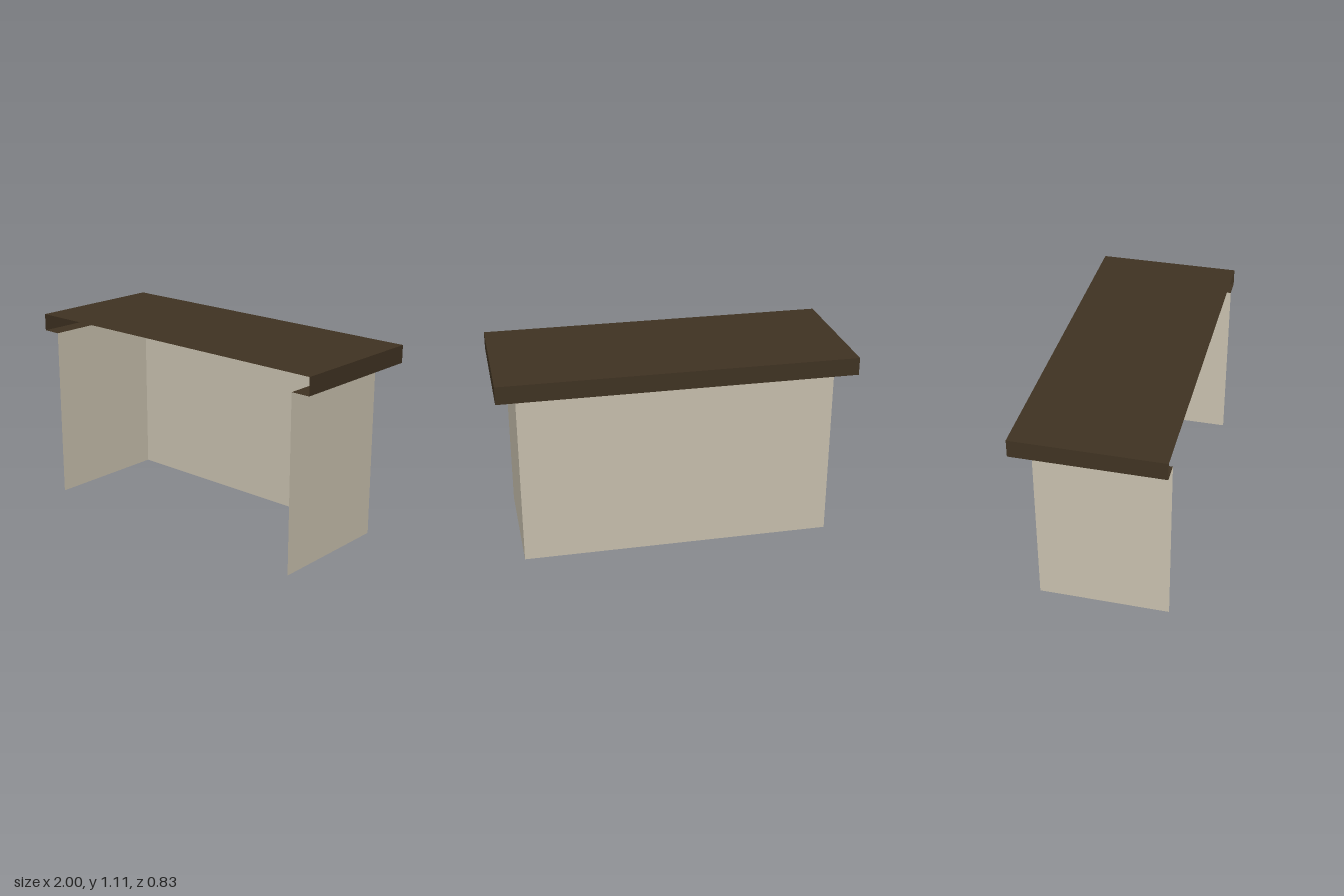
import * as THREE from 'three';

const W = 1, D = 0.413;            // half width and half depth of the top
const PX = 0.89, PZ = -0.322;      // side panel x and back panel z
const Y1 = 1.012, Y2 = 1.112;      // underside and upper face of the top

export function createModel() {
  const model = new THREE.Group();
  const darkWood = new THREE.MeshStandardMaterial({ color: 0x403322, side: THREE.DoubleSide });
  darkWood.name = 'darkWood';
  const beigePanel = new THREE.MeshStandardMaterial({ color: 0xc8c0ae, side: THREE.DoubleSide });
  beigePanel.name = 'beigePanel';

  const add = (name, geometry, material, x, y, z) => {
    const mesh = new THREE.Mesh(geometry, material);
    mesh.name = name;
    mesh.position.set(x, y, z);
    model.add(mesh);
  };

  // Three upright sheets, open at the front
  const uprights = (name, halfWidth, zBack, y0, y1, material) => {
    const h = y1 - y0, y = (y0 + y1) / 2, depth = D - zBack;
    add(name + 'Back', new THREE.PlaneGeometry(halfWidth * 2, h).rotateY(Math.PI), material, 0, y, zBack);
    for (const [side, s] of [['Left', 1], ['Right', -1]]) {
      add(name + side, new THREE.PlaneGeometry(depth, h).rotateY(s * Math.PI / 2),
        material, s * halfWidth, y, (D + zBack) / 2);
    }
  };
  uprights('panel', PX, PZ, 0, Y1, beigePanel);
  uprights('topEdge', W, -D, Y1, Y2, darkWood);

  // Top sheet
  add('counterTop', new THREE.PlaneGeometry(W * 2, D * 2).rotateX(-Math.PI / 2), darkWood, 0, Y2, 0);

  // U-shaped underside of the overhang (shape y becomes z, facing down)
  const overhang = new THREE.Shape([
    [-W, D], [-W, -D], [W, -D], [W, D], [PX, D], [PX, PZ], [-PX, PZ], [-PX, D],
  ].map(([x, z]) => new THREE.Vector2(x, z)));
  add('overhangUnderside', new THREE.ShapeGeometry(overhang).rotateX(Math.PI / 2), darkWood, 0, Y1, 0);

  return model;
}
